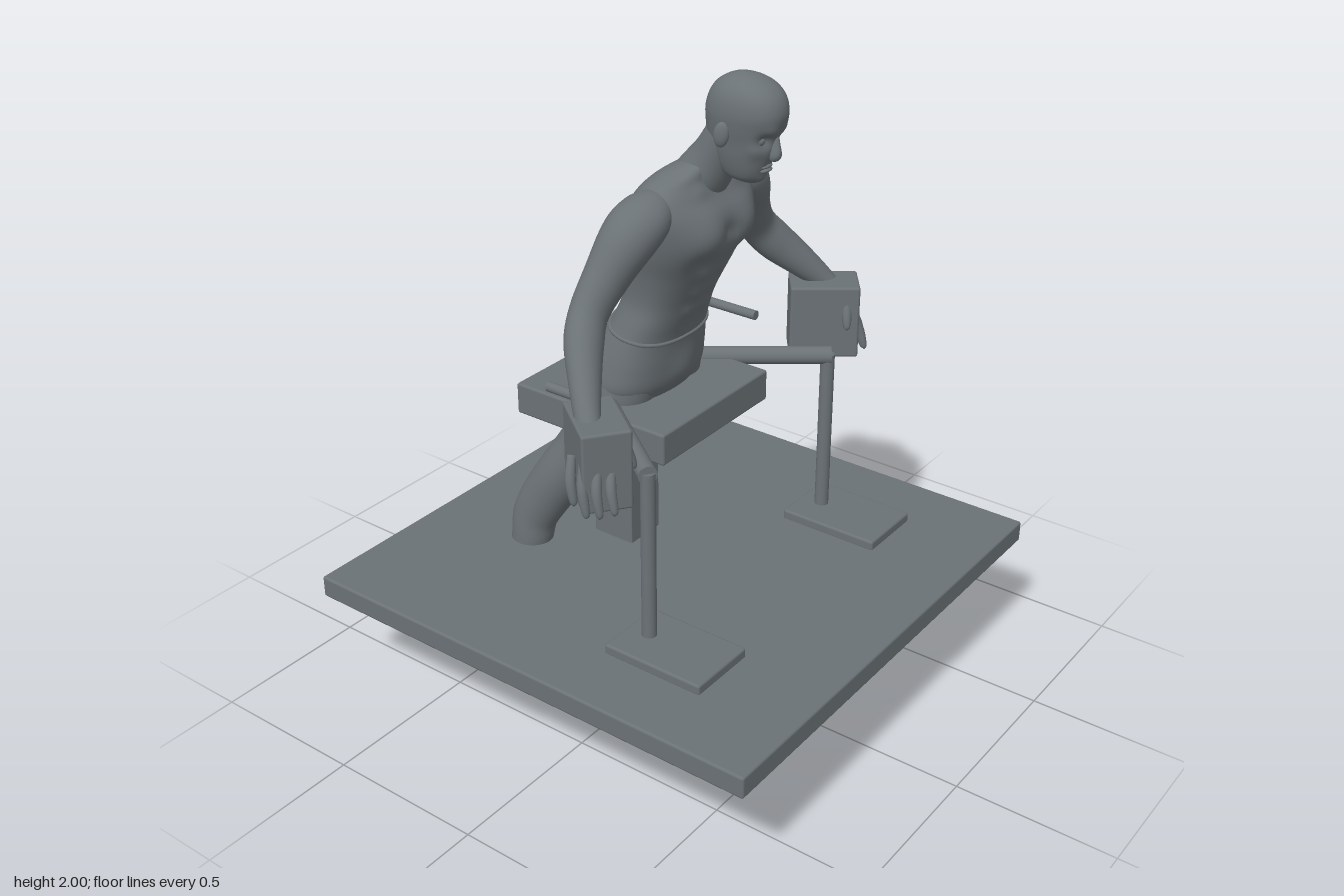
import * as THREE from 'three';
import { RoundedBoxGeometry } from 'three/addons/geometries/RoundedBoxGeometry.js';

const grey = new THREE.MeshStandardMaterial({ color: 0x6b7276 });
grey.name = 'slate grey';

const V = (x, y, z) => new THREE.Vector3(x, y, z);

// Smoothly interpolated row of numbers, t from 0 to 1
function rowAt(rows, t) {
  const f = Math.min(Math.max(t, 0), 1) * (rows.length - 1);
  const i = Math.min(Math.floor(f), rows.length - 2), u = f - i;
  const p0 = rows[Math.max(i - 1, 0)], p1 = rows[i], p2 = rows[i + 1], p3 = rows[Math.min(i + 2, rows.length - 1)];
  return p1.map((b, k) => {
    const a = p0[k], c = p2[k], d = p3[k];
    return b + 0.5 * u * (c - a + u * (2 * a - 5 * b + 4 * c - d + u * (3 * (b - c) + d - a)));
  });
}

// Closed skin over rings given by ring(t, angle)
function skin(ring, steps, sides) {
  const pos = [], idx = [];
  for (let i = 0; i <= steps; i++)
    for (let j = 0; j < sides; j++) pos.push(...ring(i / steps, (j / sides) * Math.PI * 2).toArray());
  for (let i = 0; i < steps; i++)
    for (let j = 0; j < sides; j++) {
      const k = (j + 1) % sides, a = i * sides + j, b = i * sides + k, c = a + sides, d = b + sides;
      idx.push(a, b, c, b, d, c);
    }
  for (const end of [0, steps]) {
    const mid = V(0, 0, 0), n = pos.length / 3;
    for (let j = 0; j < sides; j++) mid.add(V().fromArray(pos, (end * sides + j) * 3));
    pos.push(...mid.divideScalar(sides).toArray());
    for (let j = 0; j < sides; j++) {
      const a = end * sides + j, b = end * sides + ((j + 1) % sides);
      idx.push(n, ...(end ? [a, b] : [b, a]));
    }
  }
  const g = new THREE.BufferGeometry();
  g.setAttribute('position', new THREE.Float32BufferAttribute(pos, 3));
  g.setIndex(idx);
  g.computeVertexNormals();
  return g;
}

// Limb from rows [x, y, z, radius along ref, radius across]; s mirrors x
function limb(rows, s = 1, sides = 20, ref = V(0, 0, 1)) {
  const at = (t) => { const r = rowAt(rows, t); return V(r[0] * s, r[1], r[2]); };
  return skin((t, a) => {
    const r = rowAt(rows, t);
    const T = at(t + 0.01).sub(at(t - 0.01)).normalize();
    const U = ref.clone().addScaledVector(T, -ref.dot(T)).normalize();
    const W = T.clone().cross(U);
    return at(t).addScaledVector(U, Math.cos(a) * r[3]).addScaledVector(W, Math.sin(a) * r[4]);
  }, (rows.length - 1) * 5, sides);
}

// Point on a level section from rows [y, half width, front z, back z]
function section(rows, t, a, k = 0.85) {
  const [y, w, f, b] = rowAt(rows, t), c = Math.cos(a), n = Math.sin(a);
  const soft = (v) => Math.sign(v) * Math.pow(Math.abs(v), k);
  return V(w * soft(c), y, (f + b) / 2 - ((f - b) / 2) * soft(n));
}

// Push the surface in or out with soft bumps [x, y, z, radius, height], mirrored in x
function sculpt(g, bumps) {
  const p = g.attributes.position, n = g.attributes.normal, v = V(), m = V();
  for (let i = 0; i < p.count; i++) {
    v.fromBufferAttribute(p, i); m.fromBufferAttribute(n, i);
    let d = 0;
    for (const [x, y, z, r, h] of bumps) {
      const q = (Math.abs(v.x) - x) ** 2 + (v.y - y) ** 2 + (v.z - z) ** 2;
      d += h * Math.exp(-q / (r * r));
    }
    v.addScaledVector(m, d);
    p.setXYZ(i, v.x, v.y, v.z);
  }
  g.computeVertexNormals();
  return g;
}

const TORSO = [
  [0.97, 0.17, -0.04, -0.25], [1.03, 0.205, -0.005, -0.262], [1.1, 0.2, 0.01, -0.252], [1.18, 0.182, 0.022, -0.215],
  [1.24, 0.166, 0.042, -0.18], [1.31, 0.153, 0.07, -0.152], [1.4, 0.165, 0.115, -0.135], [1.48, 0.188, 0.158, -0.124],
  [1.54, 0.203, 0.172, -0.115], [1.6, 0.215, 0.165, -0.1], [1.65, 0.212, 0.14, -0.07], [1.69, 0.17, 0.125, -0.035],
  [1.72, 0.105, 0.13, 0.01], [1.74, 0.06, 0.14, 0.06],
];
const HEAD = [
  [1.7, 0.018, 0.252, 0.2], [1.715, 0.042, 0.268, 0.16], [1.74, 0.055, 0.284, 0.135], [1.78, 0.066, 0.3, 0.115],
  [1.82, 0.073, 0.312, 0.104], [1.86, 0.081, 0.327, 0.1], [1.9, 0.086, 0.337, 0.1], [1.94, 0.082, 0.328, 0.112],
  [1.97, 0.067, 0.302, 0.133], [1.99, 0.04, 0.262, 0.165], [2.0, 0.006, 0.215, 0.2],
];
const ARM = [
  [0.14, 1.625, 0.04, 0.05, 0.05], [0.2, 1.615, 0.035, 0.078, 0.07], [0.265, 1.573, 0.025, 0.08, 0.08],
  [0.335, 1.475, 0.0, 0.062, 0.07], [0.4, 1.39, -0.01, 0.052, 0.062], [0.455, 1.325, 0.015, 0.052, 0.062],
  [0.52, 1.25, 0.07, 0.043, 0.05], [0.575, 1.18, 0.122, 0.036, 0.036], [0.6, 1.13, 0.15, 0.04, 0.03], [0.61, 1.07, 0.165, 0.04, 0.025],
];
const LEG = [
  [0.1, 1.08, -0.13, 0.115, 0.1], [0.113, 0.98, -0.155, 0.112, 0.105], [0.13, 0.89, -0.197, 0.092, 0.1],
  [0.15, 0.8, -0.24, 0.088, 0.092], [0.178, 0.7, -0.305, 0.084, 0.083], [0.196, 0.6, -0.37, 0.08, 0.073],
  [0.208, 0.52, -0.41, 0.074, 0.066], [0.215, 0.44, -0.422, 0.066, 0.063], [0.213, 0.36, -0.448, 0.058, 0.06],
  [0.219, 0.25, -0.502, 0.043, 0.042], [0.222, 0.19, -0.535, 0.039, 0.034], [0.225, 0.13, -0.55, 0.04, 0.034],
];
const FOOT = [
  [0.225, 0.133, -0.608, 0.012, 0.01], [0.225, 0.131, -0.585, 0.04, 0.03], [0.225, 0.134, -0.535, 0.056, 0.036],
  [0.228, 0.108, -0.475, 0.047, 0.04], [0.237, 0.069, -0.42, 0.034, 0.048], [0.242, 0.04, -0.378, 0.021, 0.05],
  [0.242, 0.03, -0.36, 0.012, 0.045],
];
// Fingers and thumb as [base, tip]
const DIGITS = [
  [[0.592, 1.09, 0.215], [0.625, 0.97, 0.248]], [[0.625, 1.09, 0.195], [0.655, 0.965, 0.222]],
  [[0.642, 1.1, 0.16], [0.67, 0.962, 0.188]], [[0.635, 1.1, 0.115], [0.663, 0.98, 0.14]],
  [[0.55, 1.135, 0.225], [0.533, 1.065, 0.24]],
];

export function createModel() {
  const root = new THREE.Group();
  const add = (name, geo, x = 0, y = 0, z = 0) => {
    const m = new THREE.Mesh(geo, grey);
    m.name = name;
    m.position.set(x, y, z);
    root.add(m);
    return m;
  };
  const box = (w, h, d, r = 0.008) => new RoundedBoxGeometry(w, h, d, 2, r);
  const rod = (name, a, b, r) => {
    const d = b.clone().sub(a), m = add(name, new THREE.CylinderGeometry(r, r, d.length(), 24));
    m.position.copy(a).addScaledVector(d, 0.5);
    m.quaternion.setFromUnitVectors(V(0, 1, 0), d.normalize());
  };

  // Platform and seat
  add('platform', box(1.55, 0.07, 1.55), 0, 0.405, 0);
  add('seat', box(0.52, 0.1, 0.55), 0, 0.945, -0.143);
  add('seatColumn', box(0.14, 0.48, 0.145, 0.004), 0, 0.67, -0.212);

  // Torso with chest, stomach, back and buttock shapes
  const bumps = [
    [0.085, 1.54, 0.165, 0.065, 0.018], [0.09, 1.455, 0.14, 0.035, -0.008], [0, 1.54, 0.175, 0.03, -0.012],
    [0.1, 1.56, -0.1, 0.055, 0.012], [0.1, 1.03, -0.25, 0.08, 0.014], [0, 1.03, -0.26, 0.035, -0.04],
    [0, 1.1, -0.25, 0.03, -0.025], [0.08, 1.665, 0.12, 0.025, 0.006], [0, 1.07, 0.005, 0.05, 0.012],
  ];
  for (const y of [1.2, 1.26, 1.32, 1.38, 1.44, 1.5, 1.56]) bumps.push([0, y, -0.15, 0.045, -0.01]);
  for (const [y, z] of [[1.41, 0.12], [1.345, 0.088], [1.28, 0.058]]) bumps.push([0.036, y, z, 0.026, 0.008]);
  add('torso', sculpt(skin((t, a) => section(TORSO, t, a), 78, 64), bumps));

  // Waistband of the shorts, higher at the back
  const band = [];
  for (let i = 0; i < 32; i++) {
    const a = (i / 32) * Math.PI * 2, y = 1.205 + 0.025 * Math.sin(a);
    let t = 0;
    while (rowAt(TORSO, t)[0] < y) t += 0.002;
    band.push(section(TORSO, t, a));
  }
  add('waistband', new THREE.TubeGeometry(new THREE.CatmullRomCurve3(band, true), 96, 0.006, 8, true));

  // Neck, head and face
  add('neck', limb([[0, 1.64, 0.04, 0.08, 0.09], [0, 1.7, 0.085, 0.075, 0.078], [0, 1.76, 0.125, 0.066, 0.068], [0, 1.84, 0.17, 0.06, 0.065]], 1, 28));
  add('head', sculpt(skin((t, a) => section(HEAD, t, a, 0.92), 60, 56), [
    [0.034, 1.832, 0.305, 0.02, -0.016], [0.03, 1.858, 0.32, 0.02, 0.004], [0.05, 1.805, 0.28, 0.022, 0.005],
    [0, 1.763, 0.295, 0.012, -0.003], [0, 1.717, 0.268, 0.018, 0.007],
  ]));
  add('nose', limb([[0, 1.85, 0.313, 0.006, 0.006], [0, 1.82, 0.312, 0.013, 0.01], [0, 1.79, 0.312, 0.017, 0.016], [0, 1.777, 0.304, 0.01, 0.014]], 1, 16));
  for (const y of [1.753, 1.742])
    add('lip', new THREE.SphereGeometry(1, 20, 10), 0, y, 0.283).scale.set(0.025, 0.0065, 0.012);

  for (const s of [1, -1]) {
    const side = s > 0 ? 'left' : 'right';

    add(side + 'Eye', new THREE.SphereGeometry(0.014, 16, 12), 0.034 * s, 1.832, 0.284);
    const ear = add(side + 'Ear', new THREE.SphereGeometry(1, 16, 12), 0.085 * s, 1.845, 0.195);
    ear.scale.set(0.012, 0.036, 0.022);
    ear.rotation.set(0.15, -0.3 * s, 0);

    // Arm and hand
    add(side + 'Arm', limb(ARM, s, 28));
    DIGITS.forEach(([a, b], i) => {
      const mid = a.map((v, k) => (v + b[k]) / 2 + (k === 0 && i < 4 ? 0.01 : 0));
      add(side + (i < 4 ? 'Finger' : 'Thumb'), limb([[...a, 0.012, 0.012], [...mid, 0.015, 0.015], [...b, 0.011, 0.011],
        [b[0], b[1] - 0.009, b[2], 0.003, 0.003]], s, 12));
    });

    // Leg, foot and toes
    add(side + 'Leg', limb(LEG, s, 32));
    add(side + 'Foot', limb(FOOT, s, 24, V(0, 1, 0)));
    for (let i = 0; i < 5; i++) {
      const x = 0.203 + i * 0.0195, r = i ? 0.0095 : 0.013, z = -0.338 - i * i * 0.0022;
      add(side + 'Toe', limb([[x, 0.038, z - 0.04, r, r], [x, 0.025, z - 0.015, r, r], [x, 0.014, z, r, r], [x, 0.01, z + 0.006, 0.003, 0.003]], s, 12, V(0, 1, 0)));
    }

    // Hand block, support arm, post, base plate and loose peg
    add(side + 'HandBlock', box(0.139, 0.235, 0.214), 0.555 * s, 1.073, 0.138).rotation.y = 0.6435 * s;
    rod(side + 'SupportArm', V(0.19 * s, 0.995, -0.13), V(0.46 * s, 0.995, 0.232), 0.028);
    rod(side + 'Post', V(0.452 * s, 0.45, 0.225), V(0.452 * s, 1.0, 0.225), 0.022);
    add(side + 'BasePlate', box(0.225, 0.035, 0.33), 0.453 * s, 0.452, 0.317);
    rod(side + 'Peg', V(0.372 * s, 1.1, 0.01), V(0.372 * s, 1.1, -0.19), 0.015);
  }
  return root;
}
